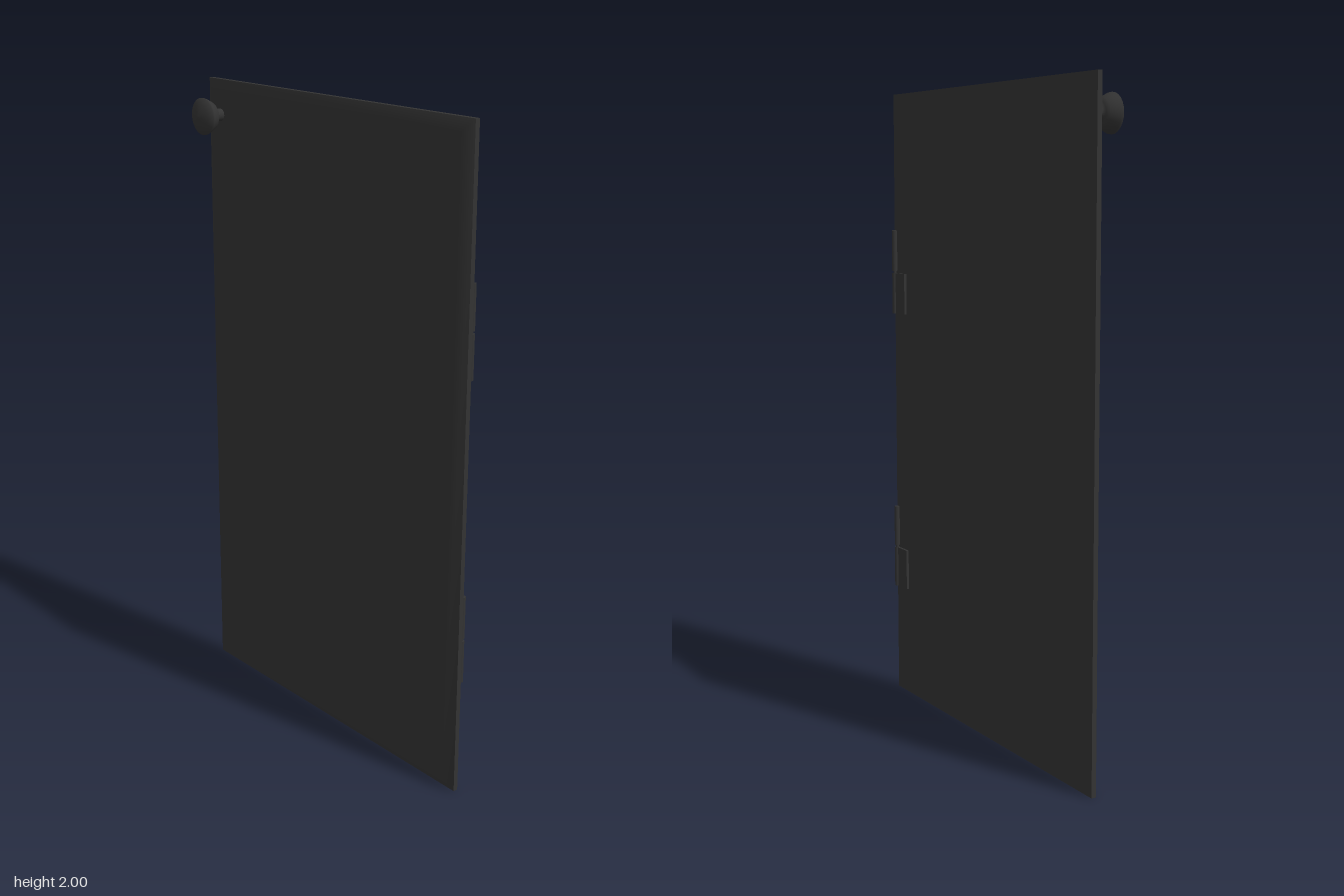
import * as THREE from 'three';

const dark = new THREE.MeshStandardMaterial({ color: 0x333333 });

function add(parent, name, geometry, x = 0, y = 0, z = 0) {
  const mesh = new THREE.Mesh(geometry, dark);
  mesh.name = name;
  mesh.position.set(x, y, z);
  parent.add(mesh);
  return mesh;
}

// Rectangular rings joined into a surface; rings are [x, half height, half depth]
function ringSurface(rings, capFirst, capLast) {
  const positions = [], index = [];
  for (const [x, h, d] of rings)
    for (const [sy, sz] of [[-1, -1], [-1, 1], [1, 1], [1, -1]]) positions.push(x, sy * h, sz * d);
  for (let r = 0; r < rings.length - 1; r++)
    for (let i = 0; i < 4; i++) {
      const a = r * 4 + i, b = r * 4 + (i + 1) % 4;
      index.push(a, b, b + 4, a, b + 4, a + 4);
    }
  if (capFirst) index.push(0, 2, 1, 0, 3, 2);
  const n = (rings.length - 1) * 4;
  if (capLast) index.push(n, n + 1, n + 2, n, n + 2, n + 3);
  // Outward direction for rings that run from -x to +x
  for (let i = 0; i < index.length; i += 3) {
    const [a, b, c] = [0, 1, 2].map(k => new THREE.Vector3().fromArray(positions, index[i + k] * 3));
    const normal = b.clone().sub(a).cross(c.clone().sub(a));
    const out = a.clone().add(b).add(c).divideScalar(3);
    out.x -= 0.042;
    if (normal.dot(out) < 0) [index[i + 1], index[i + 2]] = [index[i + 2], index[i + 1]];
  }
  const g = new THREE.BufferGeometry();
  g.setAttribute('position', new THREE.Float32BufferAttribute(positions, 3));
  g.setIndex(index);
  g.computeVertexNormals();
  return g;
}

export function createModel() {
  const model = new THREE.Group();
  model.name = 'cabinetDoor';

  // Door panel: softly shaded bevelled face, square edges and flat back
  const panel = new THREE.Group();
  panel.name = 'panel';
  model.add(panel);
  add(panel, 'bevelledFace', ringSurface([[0.018, 0.964, 0.555], [0.036, 1, 0.59]], true, false), 0, 1, 0);
  add(panel, 'edgesAndBack', ringSurface([[0.036, 1, 0.59], [0.051, 1, 0.59]], false, true).toNonIndexed(), 0, 1, 0)
    .geometry.computeVertexNormals();

  // Round knob on a short stem, turned about the x axis
  const profile = [[0, 0.07], [0.02, 0.067], [0.04, 0.06], [0.057, 0.051], [0.056, 0.044], [0.05, 0.032],
    [0.042, 0.018], [0.032, 0.01], [0.019, 0.007], [0.019, -0.022]]
    .reverse().map(([r, h]) => new THREE.Vector2(r, h));
  add(model, 'knob', new THREE.LatheGeometry(profile, 24), 0, 1.894, -0.51).rotation.z = Math.PI / 2;

  // Two hinges: a split barrel with one leaf on the back of the door
  for (const y of [0.36, 1.287]) {
    const hinge = new THREE.Group();
    hinge.name = 'hinge';
    hinge.position.y = y;
    for (const [name, cy] of [['lowerBarrel', 0.066], ['upperBarrel', 0.207]])
      add(hinge, name, new THREE.CylinderGeometry(0.009, 0.009, 0.133, 16), 0.057, cy, 0.58);
    add(hinge, 'pin', new THREE.CylinderGeometry(0.005, 0.005, 0.27, 12), 0.057, 0.137, 0.58);
    add(hinge, 'leaf', new THREE.BoxGeometry(0.009, 0.132, 0.07), 0.0545, 0.066, 0.545);
    model.add(hinge);
  }
  return model;
}
